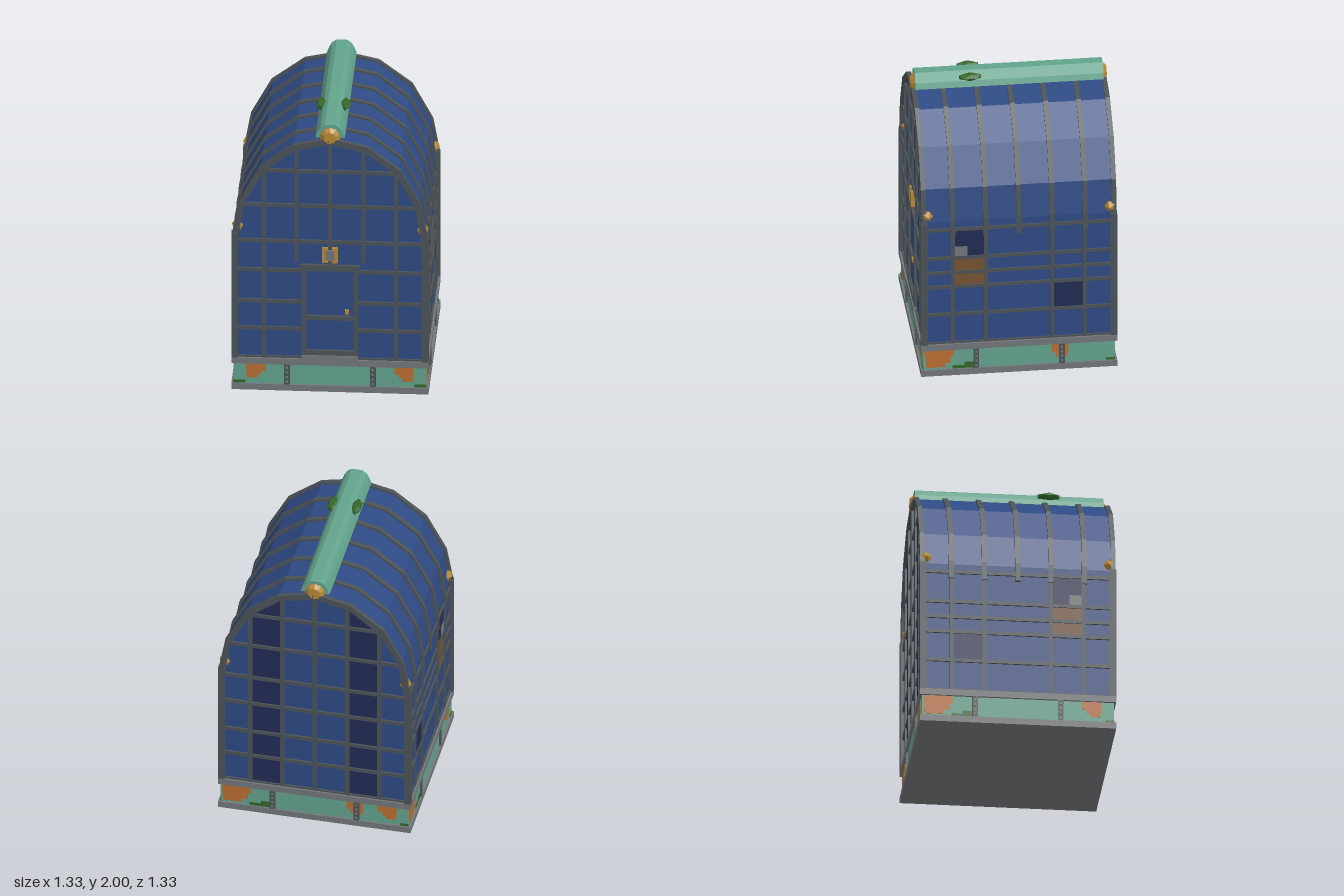
import * as THREE from 'three';

const mat = (name, color) => {
  const m = new THREE.MeshStandardMaterial({ color });
  m.name = name;
  return m;
};

export function createModel() {
  const blue = mat('blue panel', 0x2e4a84), navy = mat('navy panel', 0x222b55);
  const iron = mat('dark iron', 0x4b5256), stone = mat('grey stone', 0x73777a);
  const teal = mat('verdigris', 0x62a38c), rust = mat('rust', 0xbb6d31);
  const gold = mat('gold', 0xb88835), moss = mat('moss', 0x35672a);
  const brown = mat('brown panel', 0x775231);
  const model = new THREE.Group();
  model.name = 'shed';

  const add = (parent, name, geo, material, x = 0, y = 0, z = 0) => {
    const m = new THREE.Mesh(geo, material);
    m.name = name;
    m.position.set(x, y, z);
    parent.add(m);
    return m;
  };
  // Box given by its limits
  const box = (parent, name, material, x0, x1, y0, y1, z0, z1) =>
    add(parent, name, new THREE.BoxGeometry(Math.abs(x1 - x0), y1 - y0, z1 - z0), material,
      (x0 + x1) / 2, (y0 + y1) / 2, (z0 + z1) / 2);
  const shapeOf = (pts) => new THREE.Shape(pts.map(([x, y]) => new THREE.Vector2(x, y)));
  // Closed outline from its right half, listed bottom to top
  const mirrored = (half) => [...half, ...half.filter((p) => p[0] > 0).reverse().map(([x, y]) => [-x, y])];
  const extrude = (parent, name, material, shape, z0, z1) =>
    add(parent, name, new THREE.ExtrudeGeometry(shape, { depth: z1 - z0, bevelEnabled: false }), material, 0, 0, z0);

  // Base
  box(model, 'plinth', stone, -0.665, 0.665, 0, 0.045, -0.665, 0.665);
  box(model, 'baseBlock', teal, -0.65, 0.65, 0.045, 0.195, -0.65, 0.65);
  box(model, 'baseBeam', stone, -0.665, 0.665, 0.195, 0.24, -0.665, 0.665);

  // Body with curved roof
  extrude(model, 'body', blue, shapeOf(mirrored([
    [0.64, 0.24], [0.64, 1.18], [0.6, 1.415], [0.465, 1.667], [0.246, 1.835], [0, 1.89]])), -0.638, 0.638);

  // Roof ribs and end arches
  const outer = [[0.655, 1.2], [0.615, 1.42], [0.475, 1.68], [0.25, 1.85], [0, 1.905]];
  const inner = [[0.61, 1.2], [0.577, 1.405], [0.445, 1.65], [0.237, 1.81], [0, 1.863]];
  const arch = (foot) => {
    const o = [[0.662, foot], ...outer], i = [[0.615, foot], ...inner];
    const flip = (l) => l.slice(0, -1).reverse().map(([x, y]) => [-x, y]);
    return shapeOf([...o, ...flip(o), ...[...i, ...flip(i)].reverse()]);
  };
  for (const z of [-0.45, -0.225, 0, 0.225, 0.45])
    extrude(model, 'roofRib', iron, arch(1.07), z - 0.017, z + 0.017);
  extrude(model, 'frontArch', iron, arch(1.15), 0.63, 0.662);
  extrude(model, 'backArch', iron, arch(1.15), -0.662, -0.63);

  // Corner posts and their gold studs
  for (const x of [-1, 1]) for (const z of [-1, 1]) {
    box(model, 'cornerPost', iron, x < 0 ? -0.665 : 0.62, x < 0 ? -0.62 : 0.665, 0.24, 1.18,
      z < 0 ? -0.665 : 0.62, z < 0 ? -0.62 : 0.665);
    const stud = add(model, 'cornerStud', new THREE.IcosahedronGeometry(0.043, 0), gold, x * 0.622, 1.225, z * 0.622);
    stud.rotation.y = x * z * Math.PI / 4;
  }

  // Four sides, each built facing +z and then turned
  const side = (name, angle) => {
    const g = new THREE.Group();
    g.name = name;
    g.rotation.y = angle;
    model.add(g);
    for (const u of [-0.29, 0.29]) {
      box(g, 'basePost', iron, u - 0.019, u + 0.019, 0.045, 0.195, 0.64, 0.662);
      for (let i = 0; i < 4; i++)
        box(g, 'rivet', stone, u - 0.008, u + 0.008, 0.058 + i * 0.035, 0.074 + i * 0.035, 0.66, 0.665);
    }
    return g;
  };
  const front = side('frontSide', 0), left = side('leftSide', Math.PI / 2);
  const back = side('backSide', Math.PI), right = side('rightSide', -Math.PI / 2);
  const rail = (g, u, v, y, t = 0.013) => box(g, 'rail', iron, u, v, y - t, y + t, 0.625, 0.652);
  const upright = (g, u, y0, y1) => box(g, 'upright', iron, u - 0.013, u + 0.013, y0, y1, 0.625, 0.654);

  // Front and back framing
  for (const g of [front, back]) {
    const isFront = g === front;
    for (const [y, w] of [[1.12, 0.64], [0.9, 0.64], [0.665, 0.64], [0.46, 0.64], [1.39, 0.59], [1.65, 0.455]]) {
      if (isFront && y < 1) {
        rail(g, -w, -0.18, y);
        rail(g, 0.18, w, y);
      } else rail(g, -w, w, y);
    }
    for (const s of [-1, 1]) {
      upright(g, s * 0.445, 0.24, 1.67);
      upright(g, s * 0.225, isFront ? 0.97 : 0.24, 1.83);
    }
    upright(g, 0, isFront ? 0.94 : 0.24, 1.88);
    box(g, 'bottomRail', iron, -0.64, 0.64, 0.24, 0.252, 0.625, 0.652);
  }
  for (const s of [-1, 1])
    add(back, 'darkColumn', new THREE.ShapeGeometry(shapeOf(
      [[s * 0.238, 0.252], [s * 0.432, 0.252], [s * 0.432, 1.675], [s * 0.238, 1.82]])), navy, 0, 0, 0.641);

  // Door with two recessed panels
  const door = shapeOf([[-0.19, 0.265], [0.19, 0.265], [0.19, 0.945], [-0.19, 0.945]]);
  for (const [y0, y1] of [[0.305, 0.535], [0.565, 0.905]])
    door.holes.push(new THREE.Path([[-0.158, y0], [-0.158, y1], [0.158, y1], [0.158, y0]]
      .map(([x, y]) => new THREE.Vector2(x, y))));
  extrude(front, 'doorFrame', iron, door, 0.63, 0.658);
  box(front, 'doorHeader', iron, -0.205, 0.205, 0.93, 0.95, 0.63, 0.66);
  box(front, 'doorStep', stone, -0.19, 0.19, 0.24, 0.27, 0.63, 0.665);
  box(front, 'doorKnob', gold, 0.102, 0.128, 0.587, 0.613, 0.63, 0.665);

  // Plaque above the door, in a gold bracket
  for (const s of [-1, 1]) {
    box(front, 'plaqueBracket', gold, s * 0.03, s * 0.052, 0.97, 1.08, 0.63, 0.664);
    for (const y of [0.97, 1.062])
      box(front, 'plaqueCorner', gold, s * 0.014, s * 0.034, y, y + 0.018, 0.63, 0.664);
  }
  box(front, 'plaque', stone, -0.033, 0.033, 0.985, 1.065, 0.63, 0.662);

  // Long walls, with patched panels as mirror images
  for (const [g, m] of [[left, 1], [right, -1]]) {
    for (const y of [1.12, 0.9, 0.787, 0.677, 0.465]) rail(g, -0.64, 0.64, y, 0.012);
    for (const u of [-0.447, -0.225, 0.225, 0.445]) upright(g, u, 0.24, 1.12);
    box(g, 'bottomRail', iron, -0.64, 0.64, 0.24, 0.252, 0.625, 0.652);
    const patch = (name, material, u0, u1, y0, y1, z = 0.645) => box(g, name, material, m * u0, m * u1, y0, y1, 0.638, z);
    patch('darkPanel', navy, -0.434, -0.238, 0.912, 1.108);
    patch('greyPatch', stone, -0.434, -0.35, 0.912, 0.985, 0.647);
    patch('brownPanel', brown, -0.434, -0.238, 0.799, 0.888);
    patch('brownPanel', brown, -0.434, -0.238, 0.689, 0.775);
    patch('darkPanel', navy, 0.238, 0.432, 0.477, 0.665);
  }

  // Rust and moss stains on the base, as stepped thin plates
  const stain = (g, name, material, steps) => {
    for (const [u0, u1, y0, y1] of steps) box(g, name, material, u0, u1, y0, y1, 0.648, 0.653);
  };
  const cornerRust = [[-0.64, -0.44, 0.14, 0.195], [-0.635, -0.46, 0.09, 0.14], [-0.63, -0.5, 0.06, 0.09]];
  const endRust = (s) => [[s * 0.435, s * 0.565, 0.135, 0.195], [s * 0.465, s * 0.565, 0.11, 0.135], [s * 0.49, s * 0.56, 0.085, 0.11]];
  const postRust = (s) => [[s * 0.22, s * 0.335, 0.125, 0.195], [s * 0.25, s * 0.33, 0.09, 0.125]];
  stain(front, 'rustStain', rust, [...endRust(-1), ...endRust(1)]);
  stain(front, 'mossStain', moss, [[-0.65, -0.57, 0.045, 0.067], [0.57, 0.65, 0.045, 0.067]]);
  stain(left, 'rustStain', rust, [...cornerRust, ...postRust(1)]);
  stain(back, 'rustStain', rust, [...cornerRust, ...postRust(1), ...endRust(1)]);
  stain(right, 'rustStain', rust, [...cornerRust, ...endRust(1)]);
  for (const g of [left, back, right])
    stain(g, 'mossStain', moss, [[-0.45, -0.31, 0.045, 0.068], [-0.37, -0.31, 0.068, 0.09], [0.59, 0.65, 0.045, 0.063]]);

  // Ridge cap with gold ends
  extrude(model, 'ridgeCap', teal, shapeOf(mirrored(
    [[0.1, 1.905], [0.085, 1.945], [0.065, 1.98], [0.035, 2]])), -0.638, 0.638);
  for (const s of [-1, 1]) {
    const cap = add(model, 'ridgeEnd', new THREE.CylinderGeometry(0.042, 0.07, 0.03, 10).toNonIndexed(), gold, 0, 1.912, s * 0.65);
    cap.geometry.computeVertexNormals();
    cap.rotation.x = s * Math.PI / 2;
    box(model, 'ridgeClip', iron, -0.015, 0.015, 1.87, 1.9, s > 0 ? 0.63 : -0.665, s > 0 ? 0.665 : -0.63);
    // Moss clumps either side of the ridge
    const clump = add(model, 'mossClump', new THREE.IcosahedronGeometry(1, 0), moss, s * 0.081, 1.973, 0.267);
    clump.scale.set(0.04, 0.027, 0.087);
  }
  return model;
}
